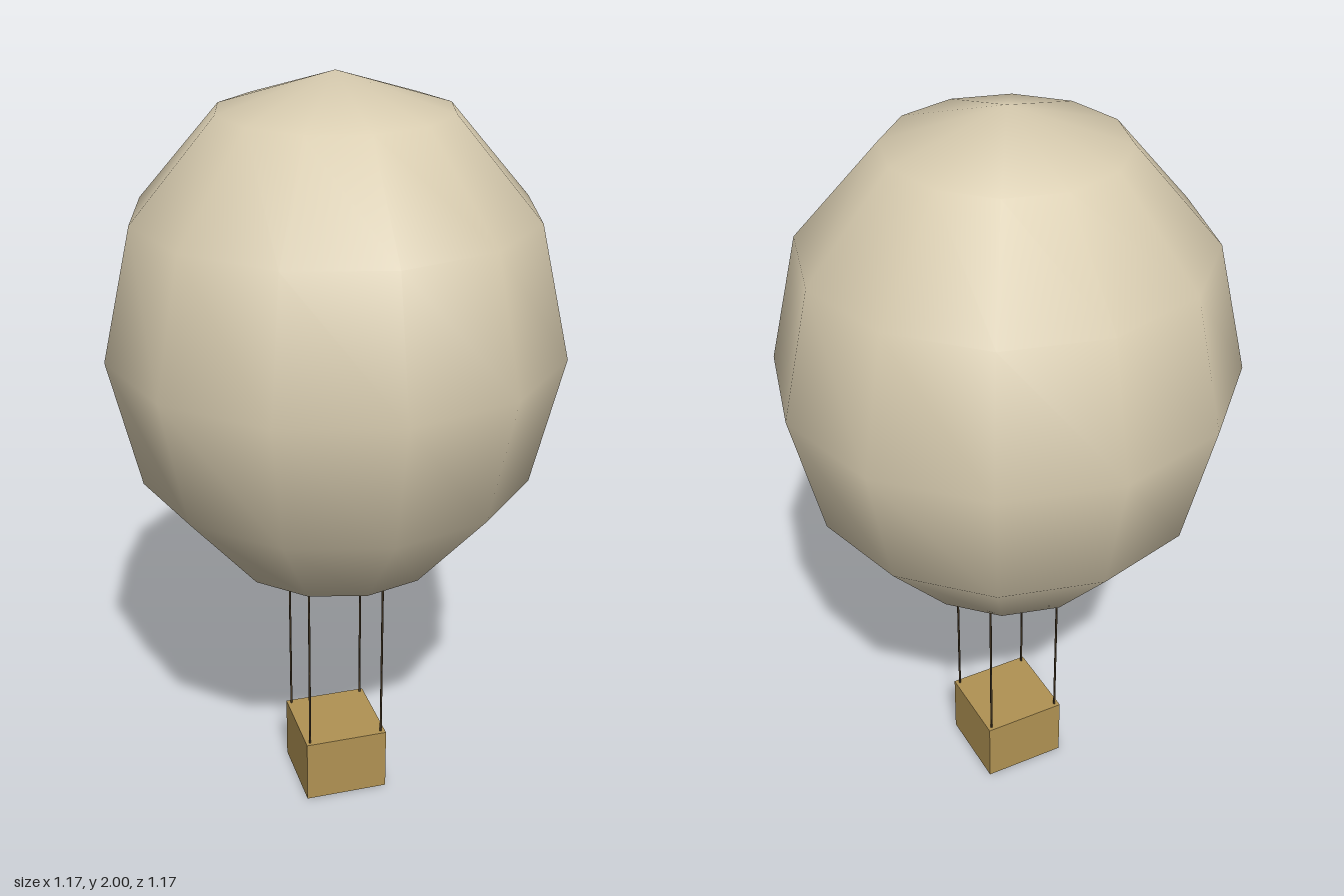
import * as THREE from 'three';

const paint = (name, color) => {
  const material = new THREE.MeshStandardMaterial({ color });
  material.name = name;
  return material;
};

export function createModel() {
  const balloon = new THREE.Group();
  balloon.name = 'balloon';

  const canvas = paint('canvas', 0xd8ccb0);
  const wicker = paint('wicker', 0xb09253);
  const cord = paint('cord', 0x4a3c28);

  const add = (name, geometry, material, x, y, z) => {
    const mesh = new THREE.Mesh(geometry, material);
    mesh.name = name;
    mesh.position.set(x, y, z);
    balloon.add(mesh);
    return mesh;
  };

  // Gas envelope: a coarse, smooth-shaded sphere stretched upwards
  const envelope = new THREE.SphereGeometry(0.587, 12, 6);
  envelope.scale(1, 0.675 / 0.587, 1);
  add('envelope', envelope, canvas, 0, 1.325, 0);

  // Basket
  add('basket', new THREE.BoxGeometry(0.23, 0.18, 0.23), wicker, 0, 0.09, 0);

  // Four ropes from the basket corners into the envelope
  const bottom = 0.17, top = 0.71;
  const rope = new THREE.CylinderGeometry(0.003, 0.003, top - bottom, 6);
  for (const x of [-1, 1]) {
    for (const z of [-1, 1]) {
      const side = (z > 0 ? 'front' : 'back') + (x > 0 ? 'Left' : 'Right');
      add(side + 'Rope', rope, cord, x * 0.103, (bottom + top) / 2, z * 0.103);
    }
  }

  return balloon;
}
